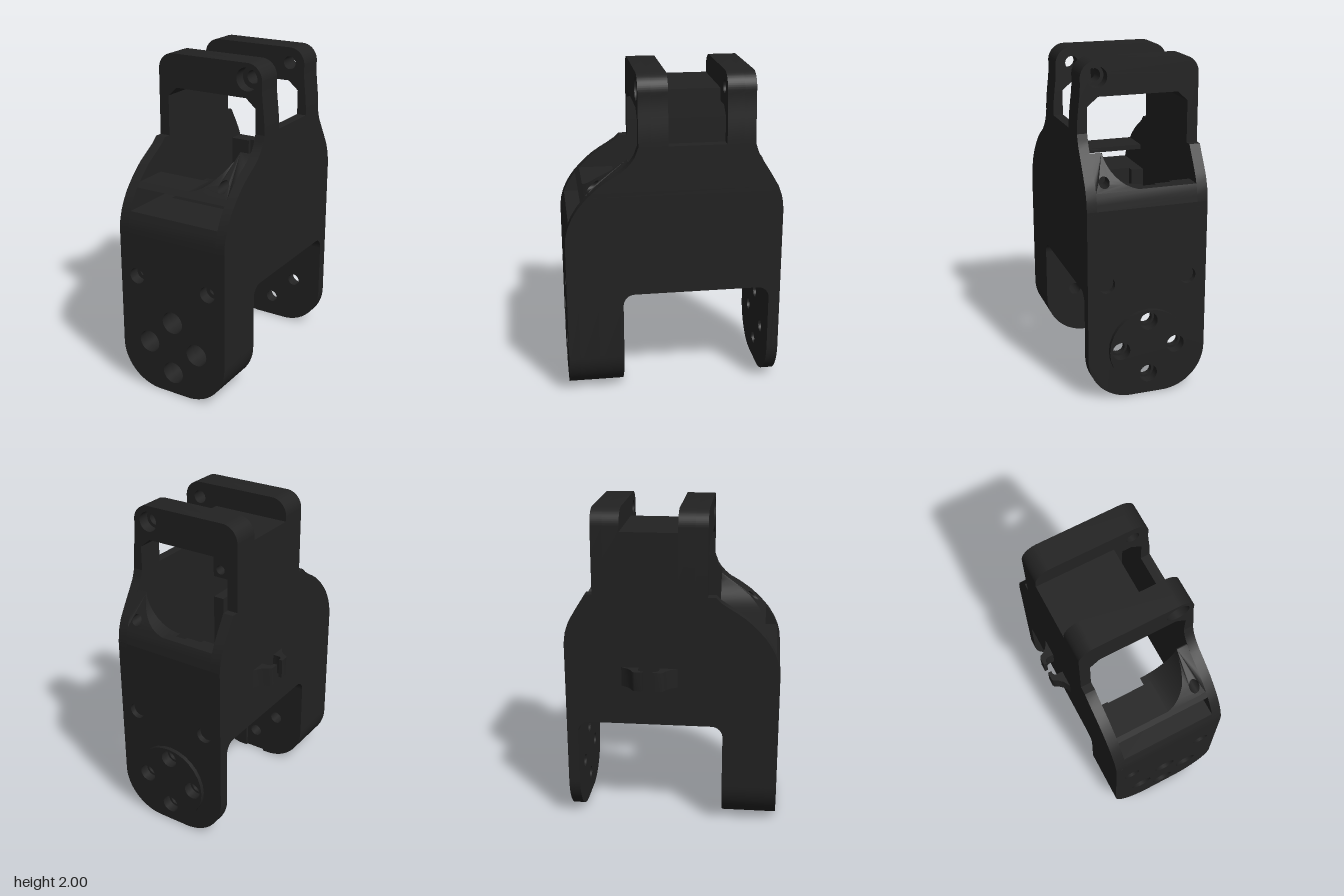
import * as THREE from 'three';
import { toCreasedNormals } from 'three/addons/utils/BufferGeometryUtils.js';

const L = -0.325, R = 0.405;      // outer side faces
const LI = -0.26, RI = 0.345;     // inner side faces
const SHOULDER = 1.59;            // where the ears begin

// Outer depth of the front and back walls by height
const frontCurve = [[1, 0.67], [1.06, 0.666], [1.12, 0.65], [1.18, 0.623], [1.24, 0.584], [1.3, 0.53],
  [1.36, 0.465], [1.41, 0.39], [1.45, 0.32], [1.49, 0.28], [1.53, 0.252], [1.59, 0.23]];
const backCurve = [[1.18, 0.64], [1.25, 0.631], [1.32, 0.607], [1.4, 0.56], [1.46, 0.522], [1.53, 0.48], [1.59, 0.46]];
function depthAt(table, y) {
  if (y <= table[0][0]) return table[0][1];
  for (let i = 1; i < table.length; i++) {
    const [y0, d0] = table[i - 1], [y1, d1] = table[i];
    if (y <= y1) return d0 + (d1 - d0) * (y - y0) / (y1 - y0);
  }
  return table[table.length - 1][1];
}
const front = y => depthAt(frontCurve, y);
const back = y => -depthAt(backCurve, y);

export function createModel() {
  const group = new THREE.Group();
  const material = new THREE.MeshStandardMaterial({ color: 0x222222 });
  const add = (name, geometry) => {
    const mesh = new THREE.Mesh(geometry, material);
    mesh.name = name;
    group.add(mesh);
    return mesh;
  };

  // Block whose back and front faces follow z = f(y)
  function block(name, x0, x1, y0, y1, zBack, zFront) {
    const rows = Math.max(1, Math.round((y1 - y0) / 0.03));
    const g = new THREE.BoxGeometry(1, 1, 1, 1, rows, 1);
    const p = g.attributes.position;
    const val = (f, y) => (typeof f === 'function' ? f(y) : f);
    for (let i = 0; i < p.count; i++) {
      const y = y0 + (p.getY(i) + 0.5) * (y1 - y0);
      p.setXYZ(i, p.getX(i) < 0 ? x0 : x1, y, val(p.getZ(i) < 0 ? zBack : zFront, y));
    }
    g.computeVertexNormals();
    return add(name, g);
  }

  // Front-outline plate between two depths, with round holes [x, y, r]
  function plate(name, shape, z0, z1, holes = []) {
    for (const [x, y, r] of holes) shape.holes.push(new THREE.Path().absarc(x, y, r, 0, Math.PI * 2, true));
    const g = new THREE.ExtrudeGeometry(shape, { depth: z1 - z0, bevelEnabled: false, curveSegments: 14 });
    g.translate(0, 0, z0);
    return add(name, toCreasedNormals(g, 0.6));
  }

  // Leg outline, rounded at whichever outer corners it reaches
  function legShape(top, x0 = L, x1 = R) {
    const s = new THREE.Shape();
    const r = 0.265;
    s.moveTo(x0, top);
    if (x0 === L) {
      s.lineTo(L, r);
      s.absarc(L + r, r, r, Math.PI, Math.PI * 1.5, false);
    } else s.lineTo(x0, 0);
    if (x1 === R) s.absarc(R - r, r, r, -Math.PI / 2, 0, false);
    else s.lineTo(x1, 0);
    s.lineTo(x1, top);
    s.closePath();
    return s;
  }
  const horn = r => [[0.04, 0.48, r], [-0.13, 0.31, r], [0.21, 0.31, r], [0.04, 0.14, r]];
  const screws = r => [[-0.21, 0.73, r], [0.29, 0.73, r]];

  // Front leg: counterbored outside, cable groove inside
  plate('frontLegOuter', legShape(1), 0.6, 0.67, [...horn(0.07), ...screws(0.05)]);
  plate('frontLegMiddle', legShape(1), 0.48, 0.6, [...horn(0.07), ...screws(0.026)]);
  plate('frontLegInner', legShape(1), 0.345, 0.48, horn(0.04));
  plate('frontLegLeftPad', legShape(1, L, -0.03), 0.33, 0.345, [[-0.13, 0.31, 0.04]]);
  plate('frontLegRightPad', legShape(1, 0.11, R), 0.33, 0.345, [[0.21, 0.31, 0.04]]);

  // Back leg with its raised round pad
  plate('backLegOuter', legShape(1.18), -0.64, -0.605, [...horn(0.055), ...screws(0.05)]);
  plate('backLegInner', legShape(1.18), -0.605, -0.57, horn(0.04));
  plate('backRoundPad', new THREE.Shape().absarc(0.04, 0.31, 0.24, 0, Math.PI * 2), -0.665, -0.64, horn(0.055));

  // Curved walls between the sides, the front one with a cable slot
  block('frontWallBelowSlot', LI, RI, 1, 1.13, 0.33, front);
  block('frontWallAboveSlot', LI, RI, 1.255, 1.285, 0.33, front);
  block('backWall', LI, RI, 1.18, 1.285, -0.57, back).geometry.scale(1, 1, 1);
  const backWall = group.children[group.children.length - 1];
  group.remove(backWall);
  block('backWall', LI, RI, 1.18, 1.285, back, -0.57);

  // Side walls, the left one stepping in below the ears
  block('rightWall', RI, R, 0.67, SHOULDER, back, front);
  block('leftWall', L, LI, 0.67, 1.49, back, front);
  block('leftWallUpper', L, LI, 1.49, SHOULDER, -0.46, 0.23);

  // Rounded corners of the arch between the legs
  for (const [x0, x1] of [[L, LI], [RI, R]]) {
    for (const [z, dir] of [[0.33, -1], [-0.57, 1]]) {
      const r = 0.07;
      const s = new THREE.Shape();
      s.moveTo(-z, 0.675);
      s.lineTo(-z, 0.67 - r);
      for (let i = 1; i <= 8; i++) {
        const a = i / 8 * Math.PI / 2;
        s.lineTo(-(z + dir * r * (1 - Math.cos(a))), 0.67 - r + r * Math.sin(a));
      }
      s.lineTo(-(z + dir * r), 0.675);
      const g = new THREE.ExtrudeGeometry(s, { depth: x1 - x0, bevelEnabled: false });
      g.rotateY(Math.PI / 2);
      g.translate(x0, 0, 0);
      add('archFillet', toCreasedNormals(g, 0.6));
    }
  }

  // Stepped ribs inside the front and back walls
  for (const [x0, x1, z] of [[LI, -0.18, 0.28], [0.27, RI, 0.28]]) block('frontRib', x0, x1, 0.67, 1.13, z, 0.34);
  for (const [x0, x1, z] of [[LI, -0.13, -0.515], [-0.13, -0.03, -0.54], [-0.03, 0.115, -0.56],
    [0.115, 0.21, -0.54], [0.21, RI, -0.515]]) block('backRib', x0, x1, 0.67, 1.285, -0.575, z);

  // Screw bosses in the lower window corners, sloped with the walls
  for (const [name, surface, inner] of [['frontBoss', front, 0.28], ['backBoss', back, -0.515]]) {
    const s = new THREE.Shape();
    s.moveTo(0.04, 1.28);
    for (let i = 0; i <= 8; i++) s.lineTo(RI, 1.28 + 0.205 * i / 8);
    s.lineTo(0.277, 1.485);
    for (let i = 1; i < 10; i++) {
      const a = (1 - i / 10) * 1.41;
      s.lineTo(0.04 + 0.24 * Math.sin(a), 1.52 - 0.24 * Math.cos(a));
    }
    s.holes.push(new THREE.Path().absarc(0.29, 1.335, 0.032, 0, Math.PI * 2, true));
    const g = new THREE.ExtrudeGeometry(s, { depth: 1, bevelEnabled: false });
    const p = g.attributes.position;
    for (let i = 0; i < p.count; i++) {
      const outer = (p.getZ(i) > 0.5) === (inner > 0);
      p.setZ(i, outer ? surface(p.getY(i)) : inner);
    }
    add(name, toCreasedNormals(g, 0.5));
  }

  // Ears: an arch around the window, one screw hole in the corner
  function earShape() {
    const s = new THREE.Shape();
    s.moveTo(L, SHOULDER);
    s.lineTo(LI, SHOULDER);
    s.lineTo(LI, 1.74);
    s.lineTo(-0.2, 1.795);
    s.lineTo(0.28, 1.795);
    s.lineTo(RI, 1.74);
    s.lineTo(RI, SHOULDER);
    s.lineTo(R, SHOULDER);
    s.bezierCurveTo(0.405, 1.72, 0.38, 1.8, 0.385, 1.9);
    s.absarc(0.285, 1.9, 0.1, 0, Math.PI / 2, false);
    s.absarc(L + 0.1, 1.9, 0.1, Math.PI / 2, Math.PI, false);
    s.closePath();
    return s;
  }
  const earHole = r => [[0.285, 1.905, r]];
  plate('frontEarInner', earShape(), 0.055, 0.155, earHole(0.04));
  plate('frontEarOuter', earShape(), 0.155, 0.23, earHole(0.07));
  plate('backEarInner', earShape(), -0.39, -0.29, earHole(0.04));
  plate('backEarOuter', earShape(), -0.46, -0.39, earHole(0.06));

  // Hood joining the ears over the left part of the cavity
  const hood = new THREE.Shape();
  [[L, SHOULDER], [LI, SHOULDER], [LI, 1.74], [-0.2, 1.795], [0.165, 1.795], [0.165, 1.87], [L, 1.87]]
    .forEach(([x, y], i) => (i ? hood.lineTo(x, y) : hood.moveTo(x, y)));
  plate('hood', hood, -0.29, 0.055);

  // Cable clip: two hooked arms on the side wall, mirrored about z = -0.12
  const arm = [[-0.32, 0.18], [-0.332, 0.158], [-0.35, 0.128], [-0.375, 0.106], [-0.4, 0.093], [-0.408, 0.08],
    [-0.408, 0.03], [-0.386, 0.03], [-0.386, 0.046], [-0.379, 0.058], [-0.365, 0.064], [-0.32, 0.064]];
  for (const side of [1, -1]) {
    const s = new THREE.Shape(arm.map(([x, d]) => new THREE.Vector2(x, 0.12 - side * d)));
    const g = new THREE.ExtrudeGeometry(s, { depth: 0.12, bevelEnabled: false });
    g.rotateX(-Math.PI / 2);
    g.translate(0, 0.92, 0);
    add('cableClipArm', toCreasedNormals(g, 0.6));
  }

  return group;
}
